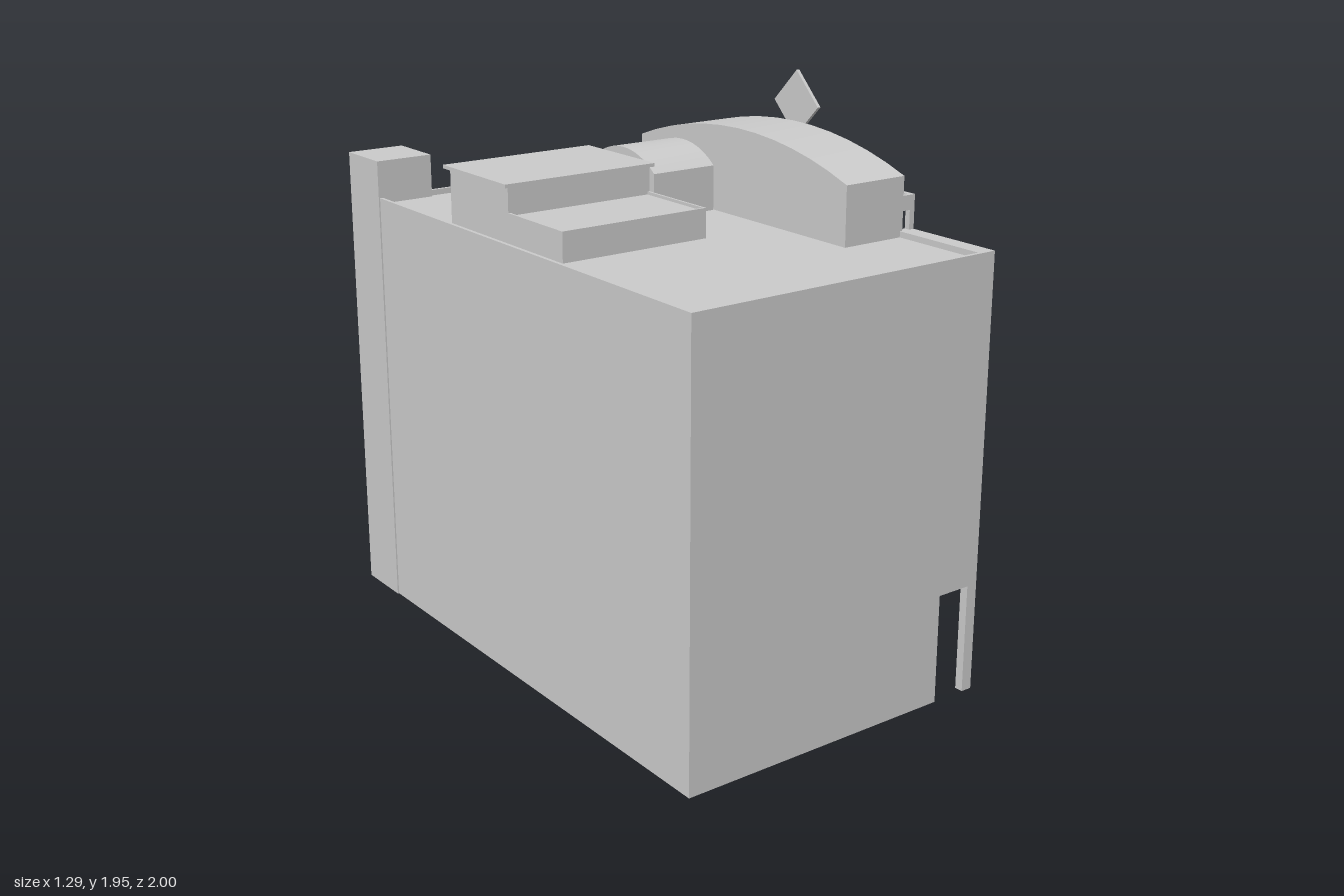
import * as THREE from 'three';
import { toCreasedNormals } from 'three/addons/utils/BufferGeometryUtils.js';

export function createModel() {
  const model = new THREE.Group();
  model.name = 'building';
  const grey = new THREE.MeshStandardMaterial({ color: 0xcccccc });

  const add = (name, geometry, parent = model) => {
    const mesh = new THREE.Mesh(geometry, grey);
    mesh.name = name;
    parent.add(mesh);
    return mesh;
  };
  const group = (name) => {
    const g = new THREE.Group();
    g.name = name;
    model.add(g);
    return g;
  };
  // Box given by its limits on each axis
  const box = (name, [x0, x1], [y0, y1], [z0, z1], parent) => {
    const mesh = add(name, new THREE.BoxGeometry(x1 - x0, y1 - y0, z1 - z0), parent);
    mesh.position.set((x0 + x1) / 2, (y0 + y1) / 2, (z0 + z1) / 2);
    return mesh;
  };
  // Profile of [x, y] points extruded along z
  const slabZ = (name, points, [z0, z1], parent) => {
    const shape = new THREE.Shape(points.map(([x, y]) => new THREE.Vector2(x, y)));
    const geo = new THREE.ExtrudeGeometry(shape, { depth: z1 - z0, bevelEnabled: false });
    add(name, geo.translate(0, 0, z0), parent);
  };
  // Block with a shallow arched top, extruded along x
  const vault = (name, [x0, x1], base, spring, crown, [z0, z1], segments) => {
    const half = (z1 - z0) / 2, mid = (z0 + z1) / 2, rise = crown - spring;
    const r = (half * half + rise * rise) / (2 * rise);
    const sweep = Math.asin(half / r);
    const shape = new THREE.Shape();
    shape.moveTo(-half, base);
    shape.lineTo(half, base);
    for (let i = 0; i <= segments; i++) {
      const a = sweep * (1 - (2 * i) / segments);
      shape.lineTo(r * Math.sin(a), crown - r + r * Math.cos(a));
    }
    const geo = new THREE.ExtrudeGeometry(shape, { depth: x1 - x0, bevelEnabled: false });
    geo.rotateY(Math.PI / 2).translate(x0, 0, mid);
    add(name, toCreasedNormals(geo, 0.4));
  };

  // Main block, roof deck and parapet
  box('mainBlock', [-0.645, 0.365], [0, 1.48], [-0.815, 1]);
  const parapet = group('parapet');
  box('backParapet', [-0.645, -0.633], [1.48, 1.5], [-0.815, 1], parapet);
  box('leftParapet', [-0.645, 0.48], [1.48, 1.5], [0.987, 1], parapet);
  box('rightParapet', [-0.645, 0.48], [1.48, 1.5], [-0.815, -0.803], parapet);
  box('frontParapet', [0.47, 0.48], [1.48, 1.5], [-0.815, 1], parapet);

  // Stair tower on the rear corner
  box('cornerTower', [-0.65, -0.44], [0, 1.63], [-1, -0.79]);

  // Two facade wings, each with a window niche and a frame rising over the roof
  const wings = [
    { name: 'leftWing', wall: [0.28, 1], niche: [0.3, 0.62], frame: [0.28, 0.64] },
    { name: 'rightWing', wall: [-0.815, -0.09], niche: [-0.43, -0.11], frame: [-0.45, -0.09] },
  ];
  for (const { name, wall, niche, frame } of wings) {
    const wing = group(name);
    const skin = [0.48, 0.53], post = [0.51, 0.53];
    box('wingCore', [0.365, 0.48], [0.38, 1.48], wall, wing);
    box('wallBelowNiche', skin, [0.38, 1.31], wall, wing);
    box('wallBesideNiche', skin, [1.31, 1.5], [wall[0], niche[0]], wing);
    box('wallBesideNiche', skin, [1.31, 1.5], [niche[1], wall[1]], wing);
    box('frameBar', post, [1.565, 1.615], frame, wing);
    for (const [a, b] of [[frame[0], niche[0]], [niche[1], frame[1]]])
      box('framePost', post, [1.5, 1.565], [a, b], wing);
    for (const z of [frame[0], frame[1] - 0.012])
      box('frameArm', [0.475, 0.51], [1.565, 1.615], [z, z + 0.012], wing);
  }

  // Central bay stepping outwards towards the top
  box('upperBay', [0.365, 0.48], [1.28, 1.5], [-0.09, 0.28]);
  box('middleBay', [0.365, 0.42], [0.94, 1.28], [-0.09, 0.28]);

  // Arched gable and the diamond plate on it
  vault('archedGable', [0.235, 0.48], 1.48, 1.68, 1.78, [-0.455, 0.64], 12);
  const diamond = add('diamondPlate', new THREE.BoxGeometry(0.012, 0.16, 0.16));
  diamond.position.set(0.486, 1.84, 0.1);
  diamond.rotation.x = Math.PI / 4;

  // Rooftop housings
  vault('vaultedHousing', [-0.02, 0.23], 1.48, 1.635, 1.7, [-0.39, -0.03], 12);
  box('tallHousing', [-0.59, -0.04], [1.48, 1.665], [-0.39, -0.03]);
  box('tallHousingLid', [-0.605, -0.025], [1.663, 1.675], [-0.41, -0.02]);
  box('lowHousing', [-0.59, -0.04], [1.48, 1.57], [-0.03, 0.28]);
  const rim = group('lowHousingRim');
  for (const x of [-0.59, -0.048]) box('sideRim', [x, x + 0.008], [1.57, 1.58], [-0.03, 0.28], rim);
  box('frontRim', [-0.59, -0.04], [1.57, 1.58], [0.272, 0.28], rim);

  // Arcade columns, with low walls behind the inner ones
  const arcade = group('arcade');
  [0.97, 0.62, 0.28, -0.12, -0.47, -0.815].forEach((z, i) => {
    const span = [z, z + (i === 0 ? 0.03 : 0.035)];
    box('column', [0.49, 0.53], [0, 0.38], span, arcade);
    if (i > 0 && i < 5)
      slabZ('lowWall', [[0.365, 0], [0.49, 0], [0.49, 0.16], [0.42, 0.16], [0.365, 0.2]],
        [span[0] + 0.01, span[1] - 0.01], arcade);
  });

  // Entrance ramp between two side rails
  const ramp = group('entranceRamp');
  slabZ('rampSlope', [[0.365, 0], [0.56, 0], [0.56, 0.01], [0.365, 0.19]], [-0.06, 0.25], ramp);
  for (const z of [-0.07, 0.248])
    slabZ('rampRail', [[0.365, 0], [0.57, 0], [0.57, 0.03], [0.365, 0.21]], [z, z + 0.01], ramp);

  // Thin canopy, deeper over the entrance
  const canopy = group('canopy');
  box('canopySlab', [0.53, 0.61], [0.37, 0.382], [-0.5, 0.68], canopy);
  box('canopyCentre', [0.61, 0.645], [0.37, 0.382], [-0.14, 0.32], canopy);

  return model;
}
